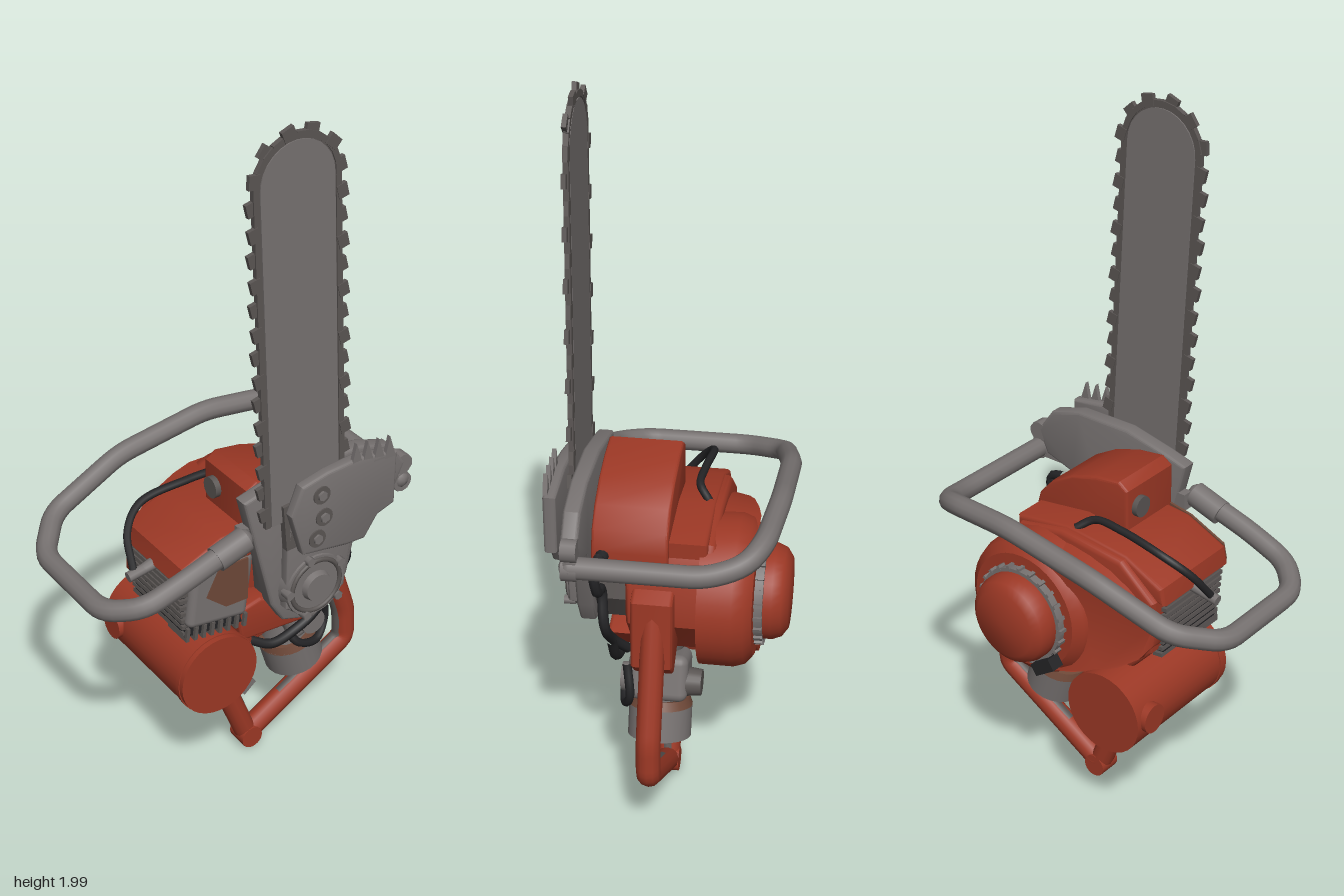
import * as THREE from 'three';
import { RoundedBoxGeometry } from 'three/addons/geometries/RoundedBoxGeometry.js';
import { toCreasedNormals } from 'three/addons/utils/BufferGeometryUtils.js';

const material = (name, color) => {
  const m = new THREE.MeshStandardMaterial({ color });
  m.name = name;
  return m;
};
const V = (p) => new THREE.Vector3(...p);

export function createModel() {
  const red = material('red paint', 0x9c3825);
  const grey = material('grey metal', 0x767170);
  const steel = material('dark steel', 0x5a5553);
  const black = material('black rubber', 0x242426);
  const brown = material('rusty brown', 0x6e4838);
  const root = new THREE.Group();
  root.name = 'chainsaw';

  const add = (name, geo, mat, pos = [0, 0, 0], rot = [0, 0, 0], parent = root) => {
    const m = new THREE.Mesh(geo, mat);
    m.name = name;
    m.position.set(...pos);
    m.rotation.set(...rot);
    parent.add(m);
    return m;
  };
  const box = (name, size, mat, pos, rot, parent) => add(name, new THREE.BoxGeometry(...size), mat, pos, rot, parent);
  // cylinder between two points
  const rod = (name, a, b, r0, r1, mat, sides = 20) => {
    const d = V(b).sub(V(a));
    const m = add(name, new THREE.CylinderGeometry(r1, r0, d.length(), sides), mat);
    m.position.copy(V(a)).addScaledVector(d, 0.5);
    m.quaternion.setFromUnitVectors(new THREE.Vector3(0, 1, 0), d.normalize());
  };
  const extrude = (pts, depth, bevel) => new THREE.ExtrudeGeometry(
    new THREE.Shape(pts.map((p) => new THREE.Vector2(...p))),
    { depth, bevelEnabled: bevel > 0, bevelSize: bevel, bevelThickness: bevel, bevelOffset: -bevel, bevelSegments: 3 });
  // flat outline in x/y extruded from z0 to z1
  const plate = (name, pts, z0, z1, mat, bevel = 0, parent = root) =>
    add(name, toCreasedNormals(extrude(pts, z1 - z0 - 2 * bevel, bevel), 0.6), mat, [0, 0, z0 + bevel], [0, 0, 0], parent);
  // tube along straight runs with rounded corners
  const pipe = (name, pts, r, bend, mat) => {
    const p = pts.map(V), path = new THREE.CurvePath();
    let from = p[0];
    for (let i = 1; i < p.length - 1; i++) {
      const toward = (q) => p[i].clone().add(q.clone().sub(p[i]).setLength(Math.min(bend, q.distanceTo(p[i]) * 0.48)));
      const a = toward(p[i - 1]), b = toward(p[i + 1]);
      path.add(new THREE.LineCurve3(from, a));
      path.add(new THREE.QuadraticBezierCurve3(a, p[i], b));
      from = b;
    }
    path.add(new THREE.LineCurve3(from, p[p.length - 1]));
    add(name, new THREE.TubeGeometry(path, 110, r, 12), mat);
    for (const end of [p[0], p[p.length - 1]]) add(name + 'End', new THREE.SphereGeometry(r, 12, 8), mat, end.toArray());
  };
  const hose = (name, pts, r) =>
    add(name, new THREE.TubeGeometry(new THREE.CatmullRomCurve3(pts.map(V)), 40, r, 8), black);
  // turned part whose axis runs to the back
  const turned = (name, profile, mat, pos) => add(name,
    toCreasedNormals(new THREE.LatheGeometry(profile.map((p) => new THREE.Vector2(...p)), 36), 0.6), mat, pos, [-Math.PI / 2, 0, 0]);

  // guide bar and chain, leaning slightly to the right side
  const blade = new THREE.Group();
  blade.name = 'blade';
  blade.position.set(0.112, 0.92, 0.255);
  blade.rotation.z = 0.055;
  root.add(blade);
  const LEN = 0.935;
  const outline = (h, n = 14) => {
    const pts = [[-h, 0], [h, 0]];
    for (let i = 0; i <= n; i++) {
      const a = (Math.PI * i) / n;
      pts.push([Math.cos(a) * h, LEN + Math.sin(a) * h]);
    }
    return pts;
  };
  plate('guideBar', outline(0.107), -0.007, 0.007, grey, 0, blade);
  plate('chainBand', outline(0.117), -0.004, 0.004, steel, 0, blade);
  // cutters alternate with low links around the chain
  const R = 0.118, total = 2 * LEN + Math.PI * R, COUNT = 68;
  for (let i = 0; i < COUNT; i++) {
    const s = (total * (i + 0.5)) / COUNT;
    let x, y, a;
    if (s < LEN) [x, y, a] = [R, s, 0];
    else if (s < LEN + Math.PI * R) {
      a = (s - LEN) / R;
      [x, y] = [R * Math.cos(a), LEN + R * Math.sin(a)];
    } else [x, y, a] = [-R, total - s, Math.PI];
    const link = new THREE.Group();
    link.name = 'chainLink';
    link.position.set(x, y, 0);
    link.rotation.z = a;
    blade.add(link);
    box('link', [0.016, 0.034, 0.014], steel, [0, 0, 0], [0, 0, 0], link);
    if (i % 2 === 0) box('cutter', [0.03, 0.036, 0.012], steel, [0.01, 0.004, i % 4 ? 0.003 : -0.003], [0, 0, 0.2], link);
  }

  // clutch side plates
  plate('clutchPlate', [[-0.07, 1.0], [0.0, 1.02], [0.13, 1.05], [0.3, 1.05], [0.4, 1.02], [0.45, 0.95], [0.42, 0.88],
    [0.33, 0.85], [0.29, 0.76], [0.27, 0.66], [0.23, 0.59], [0.14, 0.56], [0.06, 0.585], [0.02, 0.65]], 0.2, 0.245, grey, 0.008);
  plate('clutchCover', [[0.04, 0.95], [0.07, 1.03], [0.15, 1.05], [0.25, 1.06], [0.375, 1.04], [0.375, 0.88],
    [0.32, 0.86], [0.28, 0.8], [0.22, 0.8], [0.08, 0.82]], 0.268, 0.302, grey, 0.008);
  plate('coverWeb', [[0.05, 0.9], [0.22, 0.9], [0.26, 0.8], [0.24, 0.65], [0.14, 0.58], [0.05, 0.64]], 0.24, 0.272, grey, 0.006);
  for (let i = 0; i < 4; i++) {
    const x = 0.225 + i * 0.036, y = 1.04 - i * 0.004;
    plate('bumperSpike', [[x, y], [x + 0.036, y], [x + 0.014, y + 0.065]], 0.29, 0.302, grey);
  }
  // clutch drum, hub and bolts
  rod('clutchDrum', [0.14, 0.69, 0.24], [0.14, 0.69, 0.278], 0.1, 0.092, grey, 28);
  add('drumRing', new THREE.TorusGeometry(0.078, 0.007, 8, 28), steel, [0.14, 0.69, 0.278]);
  rod('clutchHub', [0.14, 0.69, 0.27], [0.14, 0.69, 0.295], 0.048, 0.04, grey);
  for (const [x, y] of [[0.13, 0.99], [0.14, 0.92], [0.12, 0.86]]) {
    rod('coverWasher', [x, y, 0.29], [x, y, 0.306], 0.026, 0.026, steel);
    rod('coverBolt', [x, y, 0.29], [x, y, 0.312], 0.016, 0.014, grey, 6);
  }
  for (let i = 0; i < 5; i++) {
    const a = 0.6 + i * 1.25;
    const [x, y] = [0.14 + 0.09 * Math.cos(a), 0.69 + 0.09 * Math.sin(a)];
    rod('drumBolt', [x, y, 0.26], [x, y, 0.29], 0.013, 0.013, grey, 6);
  }
  box('chainTensioner', [0.03, 0.14, 0.02], steel, [0.055, 0.9, 0.262], [0, 0, 0.1]);

  // wrap-around front handle
  pipe('frontHandle', [[-0.08, 0.9, 0.25], [-0.25, 0.845, 0.255], [-0.375, 0.8, 0.248], [-0.45, 0.775, 0.17],
    [-0.45, 0.775, -0.13], [-0.36, 0.815, -0.24], [-0.13, 0.905, -0.275], [0.15, 0.955, -0.275], [0.35, 0.945, -0.255],
    [0.42, 0.915, -0.215], [0.45, 0.89, -0.12], [0.45, 0.89, 0.22]], 0.029, 0.045, grey);
  box('handleRail', [0.54, 0.05, 0.032], grey, [0.2, 0.89, 0.218]);
  rod('handleClamp', [-0.16, 0.87, 0.25], [-0.07, 0.9, 0.25], 0.035, 0.035, grey);
  for (const y of [0.94, 0.885]) rod('handleBolt', [0.45, y, 0.2], [0.45, y, 0.24], 0.03, 0.03, grey, 10);

  // engine body and shroud
  plate('engineBody', [[-0.2, 0.62], [-0.21, 0.78], [-0.1, 0.87], [0.1, 0.89], [0.25, 0.86], [0.31, 0.76], [0.31, 0.64],
    [0.22, 0.52], [0.02, 0.49], [-0.12, 0.53]], -0.12, 0.11, red, 0.015);
  plate('topShroud', [[-0.23, 0.77], [-0.22, 0.82], [-0.1, 0.875], [0.1, 0.895], [0.27, 0.87], [0.27, 0.8], [-0.08, 0.8]],
    -0.1, 0.19, red, 0.012);
  plate('shroudLip', [[-0.22, 0.775], [-0.21, 0.82], [-0.1, 0.87], [-0.02, 0.885], [-0.02, 0.8], [-0.08, 0.8]], 0.19, 0.197, brown);
  plate('crankcase', [[0.06, 0.6], [0.04, 0.8], [0.24, 0.8], [0.26, 0.68], [0.2, 0.59]], 0.1, 0.2, steel, 0.01);
  plate('crankcaseSkirt', [[-0.02, 0.5], [-0.04, 0.6], [0.04, 0.62], [0.24, 0.56], [0.18, 0.49]], 0.09, 0.17, red, 0.01);
  // sloping air box over the engine
  plate('airBoxCover', [[-0.03, 0.8], [-0.03, 1.0], [0.0, 1.02], [0.08, 1.01], [0.16, 0.985], [0.23, 0.945], [0.275, 0.895],
    [0.29, 0.84], [0.29, 0.78]], 0.0, 0.2, red, 0.008);
  rod('airBoxKnob', [-0.046, 0.94, 0.05], [-0.02, 0.94, 0.05], 0.03, 0.03, steel);

  // recoil starter: the shroud thins out toward the right side
  const fan = extrude([[0.15, 0.87], [0.06, 0.87], [0.0, 0.86], [-0.07, 0.84], [-0.13, 0.81], [-0.18, 0.775], [-0.21, 0.72],
    [-0.21, 0.65], [-0.18, 0.6], [-0.13, 0.56], [-0.07, 0.53], [0.0, 0.505], [0.06, 0.49], [0.15, 0.48]], 0.1, 0);
  const pos = fan.attributes.position;
  for (let i = 0; i < pos.count; i++)
    if (pos.getZ(i) < 0.05) {
      const t = THREE.MathUtils.clamp((pos.getX(i) + 0.22) / 0.27, 0, 1);
      pos.setXYZ(i, pos.getX(i), 0.67 + (pos.getY(i) - 0.67) * 0.88, 0.11 - 0.125 * Math.sqrt(t));
    } else pos.setZ(i, 0.12);
  fan.computeVertexNormals();
  add('fanShroud', toCreasedNormals(fan, 0.9), red, [0, 0, -0.2]);
  turned('starterDrum', [[0, 0.08], [0.205, 0.08], [0.205, 0.17], [0.195, 0.2], [0.17, 0.22], [0, 0.225]], red, [0.15, 0.67, 0]);
  turned('starterGrille', [[0.138, 0.215], [0.138, 0.243], [0, 0.243]], grey, [0.145, 0.67, 0]);
  turned('starterCap', [[0.128, 0.24], [0.128, 0.265], [0.118, 0.29], [0.095, 0.306], [0, 0.312]], red, [0.145, 0.67, 0]);
  for (let i = 0; i < 24; i++) {
    const a = (i / 24) * Math.PI * 2;
    box('grilleRib', [0.012, 0.01, 0.024], grey, [0.145 + 0.139 * Math.cos(a), 0.67 + 0.139 * Math.sin(a), -0.232], [0, 0, a]);
  }
  box('starterGrip', [0.075, 0.035, 0.04], black, [0.05, 0.55, -0.245], [0, 0, -0.6]);

  // finned cylinder and exhaust
  for (let i = 0; i < 9; i++)
    box('coolingFin', [0.03, 0.011, 0.25], steel, [-0.212 + 0.002 * (8 - i), 0.6 + i * 0.021, 0.045], [0, 0, -0.12]);
  box('finCore', [0.02, 0.18, 0.23], black, [-0.203, 0.685, 0.045], [0, 0, 0.05]);
  for (let i = 0; i < 8; i++)
    box('lowerFin', [0.01, 0.04, 0.09], steel, [-0.2 + i * 0.026, 0.6 - i * 0.003, 0.135], [0, 0, -0.12]);
  box('lowerFinCore', [0.19, 0.03, 0.08], black, [-0.11, 0.595, 0.13], [0, 0, -0.12]);
  add('exhaustBox', new RoundedBoxGeometry(0.19, 0.2, 0.1, 3, 0.02), grey, [-0.1, 0.71, 0.14], [0, 0, -0.12]);
  plate('exhaustRust', [[-0.15, 0.71], [-0.09, 0.66], [-0.02, 0.66], [-0.02, 0.79], [-0.11, 0.79]], 0.188, 0.194, brown);
  // spark plug and its lead
  rod('sparkPlug', [-0.2, 0.77, 0.045], [-0.26, 0.755, 0.045], 0.02, 0.014, grey, 10);
  rod('plugBoot', [-0.25, 0.757, 0.045], [-0.3, 0.748, 0.045], 0.015, 0.015, grey, 10);
  hose('plugLead', [[-0.28, 0.76, 0.04], [-0.26, 0.84, -0.02], [-0.2, 0.89, -0.055], [-0.05, 0.915, -0.05], [0.04, 0.915, -0.05],
    [0.08, 0.89, -0.08]], 0.011);

  // fuel tank
  rod('fuelTank', [-0.11, 0.44, -0.205], [-0.11, 0.44, 0.195], 0.12, 0.12, red, 32);
  rod('tankRim', [-0.11, 0.44, 0.165], [-0.11, 0.44, 0.18], 0.123, 0.123, red, 32);
  rod('tankCap', [-0.2, 0.45, -0.15], [-0.243, 0.45, -0.15], 0.042, 0.042, red);
  plate('tankBracket', [[-0.16, 0.54], [-0.08, 0.6], [0.2, 0.56], [0.16, 0.47], [0.0, 0.42]], -0.08, 0.12, red, 0.01);
  box('tankStrap', [0.11, 0.08, 0.05], brown, [-0.02, 0.37, 0.03], [0, 0, -0.9]);

  // rear handle frame with a grey inner channel
  const frame = (inset) => [[-0.06 + inset, 0.42, 0.032], [0.09 + inset * 0.4, 0.04 + inset, 0.032],
    [0.435 - inset, 0.25 + inset * 0.4, 0.032], [0.43 - inset, 0.35, 0.032], [0.32 - inset, 0.68, 0.032]];
  pipe('rearHandle', frame(0), 0.033, 0.025, red);
  pipe('handleChannel', frame(0.018), 0.02, 0.02, steel);
  rod('handleFoot', [0.09, 0.04, 0], [0.09, 0.04, 0.066], 0.034, 0.034, red);
  rod('handleSleeve', [-0.03, 0.34, 0.032], [0.02, 0.215, 0.032], 0.036, 0.036, brown, 12);
  plate('handleBrace', [[0.24, 0.56], [0.29, 0.76], [0.35, 0.73], [0.36, 0.54], [0.32, 0.5]], -0.02, 0.09, red, 0.01);
  box('handleTab', [0.05, 0.09, 0.05], grey, [0.045, 0.27, 0.05], [0, 0, 0.7]);
  box('trigger', [0.02, 0.14, 0.02], steel, [0.345, 0.48, 0.032], [0, 0, 0.32]);

  // carburettor and intake
  rod('intakeCan', [0.228, 0.34, 0.03], [0.255, 0.255, 0.03], 0.086, 0.086, grey, 24);
  rod('intakeBand', [0.222, 0.36, 0.03], [0.229, 0.338, 0.03], 0.078, 0.087, brown, 24);
  rod('intakeNeck', [0.22, 0.5, 0.03], [0.225, 0.35, 0.03], 0.05, 0.07, grey);
  add('carburettor', new RoundedBoxGeometry(0.12, 0.13, 0.16, 3, 0.025), grey, [0.235, 0.44, 0.03], [0, 0, 0.3]);
  rod('carburettorCap', [0.25, 0.43, 0.1], [0.25, 0.43, 0.13], 0.042, 0.038, grey);
  rod('carburettorCapBack', [0.25, 0.43, -0.04], [0.25, 0.43, -0.085], 0.04, 0.035, steel);
  rod('intakePort', [0.15, 0.52, 0.03], [0.24, 0.44, 0.03], 0.06, 0.05, steel);

  // hoses
  hose('oilHose', [[0.33, 0.85, 0.17], [0.38, 0.83, 0.175], [0.37, 0.77, 0.17], [0.31, 0.74, 0.17], [0.33, 0.64, 0.16],
    [0.27, 0.56, 0.15], [0.22, 0.5, 0.12]], 0.014);
  hose('fuelHose', [[0.03, 0.46, 0.13], [0.09, 0.435, 0.15], [0.17, 0.45, 0.15], [0.24, 0.49, 0.15], [0.29, 0.57, 0.15]], 0.014);
  hose('carburettorHose', [[0.17, 0.42, 0.11], [0.2, 0.38, 0.13], [0.27, 0.36, 0.12], [0.31, 0.41, 0.1], [0.29, 0.5, 0.11]], 0.012);
  rod('hoseNozzle', [0.29, 0.83, 0.17], [0.39, 0.82, 0.172], 0.018, 0.008, black, 10);

  return root;
}
